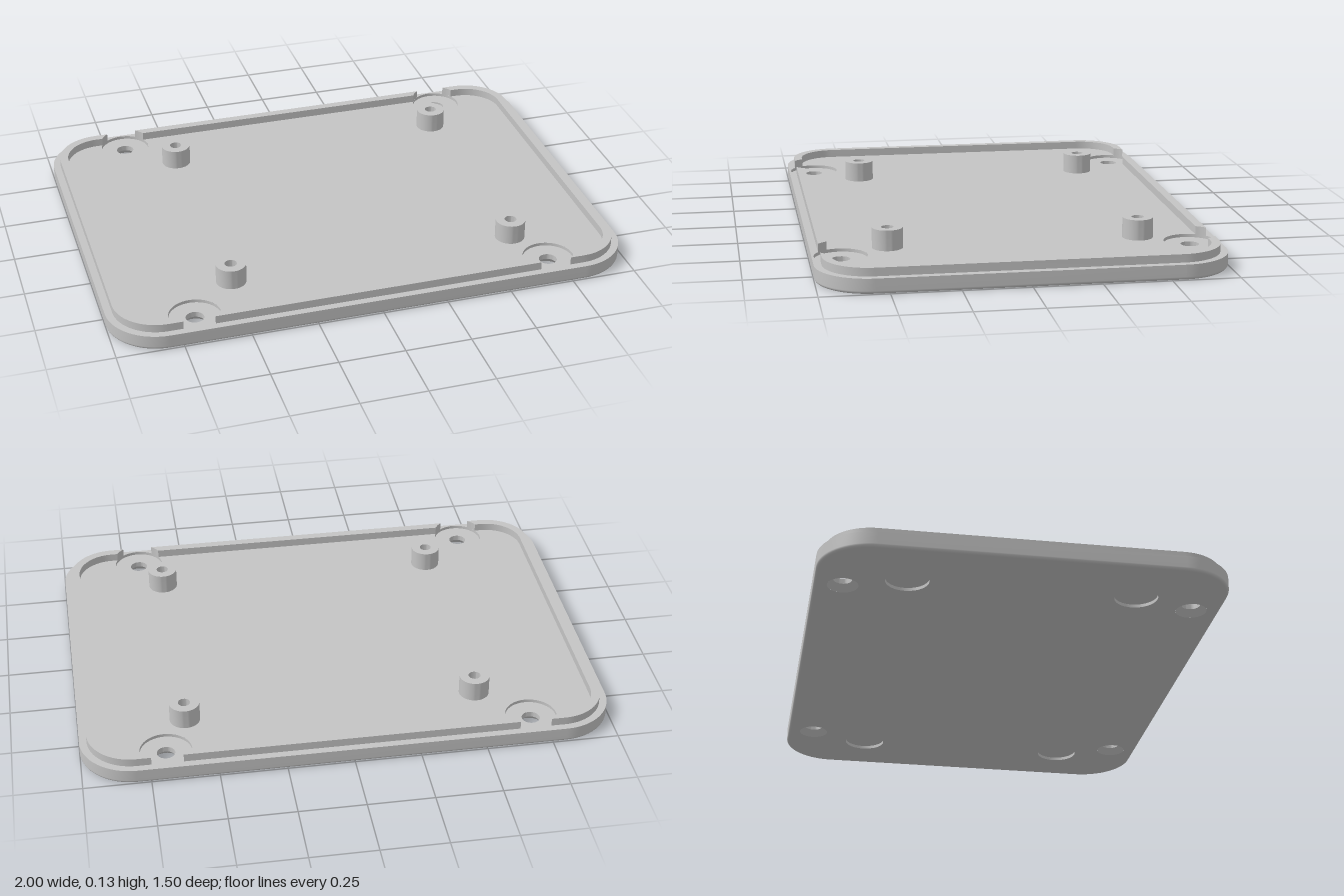
import * as THREE from 'three';
import { toCreasedNormals } from 'three/addons/utils/BufferGeometryUtils.js';

const W = 1, D = 0.75, R = 0.2;            // half width, half depth, corner radius
const TOP = 0.057, LIP_TOP = 0.088, FILLET = 0.012;
const LIP_OUT = 0.028, LIP_IN = 0.061;     // lip edges, inset from the plate edge
const SX = 0.687, SZ = 0.645, SR = 0.097;  // screw seats
const FX = 0.76, FZ = 0.42, FR = 0.08;     // foot recesses
const SINK = 0.057, SEG = 48;
const signs = [[1, 1], [-1, 1], [-1, -1], [1, -1]];

// Rounded rectangle, counter-clockwise, pulled in by an inset
function outline(inset) {
  const r = R - inset, pts = [];
  signs.forEach(([sx, sy], q) => {
    for (let i = 0; i <= 16; i++) {
      const a = (q + i / 16) * Math.PI / 2;
      pts.push(new THREE.Vector2(sx * (W - R) + r * Math.cos(a), sy * (D - R) + r * Math.sin(a)));
    }
  });
  return pts;
}

// Skin through rounded rectangles given as [inset, y]
function loft(rows) {
  const pos = [], idx = [];
  const n = outline(0).length + 1;
  rows.forEach(([inset, y], k) => {
    const loop = outline(inset);
    for (let i = 0; i < n; i++) {
      const p = loop[i % loop.length];
      pos.push(p.x, y, -p.y);
      if (k && i) {
        const a = (k - 1) * n + i - 1, b = a + 1, c = a + n, d = b + n;
        idx.push(a, b, d, a, d, c);
      }
    }
  });
  const g = new THREE.BufferGeometry();
  g.setAttribute('position', new THREE.Float32BufferAttribute(pos, 3));
  g.setIndex(idx);
  g.computeVertexNormals();
  return g;
}

// Flat rounded panel with round holes at mirrored positions
function panel(inset, holes) {
  const s = new THREE.Shape(outline(inset));
  for (const [x, z, r] of holes) {
    for (const [sx, sz] of signs) {
      s.holes.push(new THREE.Path().absarc(sx * x, sz * z, r, 0, Math.PI * 2, true));
    }
  }
  return new THREE.ShapeGeometry(s, SEG);
}

function lathe(points) {
  const g = new THREE.LatheGeometry(points.map(p => new THREE.Vector2(...p)), SEG);
  return toCreasedNormals(g, 0.5);
}

// Points on the screw seat rim between the lip's inner and outer edge
function rim(sx, sy, side) {
  const a0 = Math.asin((D - LIP_IN - SZ) / SR), a1 = Math.asin((D - LIP_OUT - SZ) / SR);
  return Array.from({ length: 9 }, (_, i) => {
    const a = a0 + (a1 - a0) * i / 8;
    return new THREE.Vector2(sx * (SX + side * SR * Math.cos(a)), sy * (SZ + SR * Math.sin(a)));
  });
}

function extrudeLip(pts) {
  const g = new THREE.ExtrudeGeometry(new THREE.Shape(pts), { depth: LIP_TOP - TOP, bevelEnabled: false });
  g.rotateX(-Math.PI / 2).translate(0, TOP, 0);
  return toCreasedNormals(g, 0.5);
}

export function createModel() {
  const model = new THREE.Group();
  model.name = 'enclosureBase';
  const grey = new THREE.MeshStandardMaterial({ color: 0xc4c4c4 });
  grey.name = 'plainGrey';
  const add = (name, geometry, x = 0, z = 0) => {
    const m = new THREE.Mesh(geometry, grey);
    m.name = name;
    m.position.set(x, 0, z);
    model.add(m);
  };

  // Base plate: underside, filleted rim, top face
  add('underside', panel(FILLET, [[SX, SZ, SINK], [FX, FZ, FR]]).rotateX(Math.PI / 2));
  const rows = [];
  for (let i = 0; i <= 5; i++) {
    const a = i / 5 * Math.PI / 2;
    rows.push([FILLET * (1 - Math.sin(a)), FILLET * (1 - Math.cos(a))]);
  }
  rows.push([0, TOP]);
  add('plateRim', loft(rows));
  add('plateTop', panel(0, [[SX, SZ, SR]]).rotateX(-Math.PI / 2).translate(0, TOP, 0));

  // Raised lip, interrupted by the screw seats
  for (const s of [1, -1]) {
    add(s > 0 ? 'backLip' : 'frontLip',
      extrudeLip([...rim(-1, s, -1), ...rim(1, s, -1).reverse()]));
    const half = inset => outline(inset).filter(p => p.x * s > 0)
      .sort((a, b) => a.y - b.y || (a.y < 0 ? 1 : -1) * s * (a.x - b.x));
    add(s > 0 ? 'leftLip' : 'rightLip', extrudeLip([
      ...rim(s, -1, 1), ...half(LIP_OUT), ...rim(s, 1, 1).reverse(), ...half(LIP_IN).reverse(),
    ]));
  }

  // Countersunk screw seats and foot recesses
  const seat = lathe([[SR, TOP], [SR, 0.045], [0.034, 0.045], [0.034, 0.024], [SINK, 0]]);
  const foot = lathe([[0, 0.012], [FR, 0.012], [FR, 0]]);
  for (const [sx, sz] of signs) {
    add('screwSeat', seat, sx * SX, sz * SZ);
    add('footRecess', foot, sx * FX, sz * FZ);
  }

  // Hollow standoffs
  const post = lathe([[0.057, TOP], [0.057, 0.134], [0.023, 0.134], [0.023, 0.062], [0, 0.062]]);
  for (const x of [-0.507, 0.6]) for (const z of [-0.467, 0.467]) add('standoff', post, x, z);

  return model;
}
